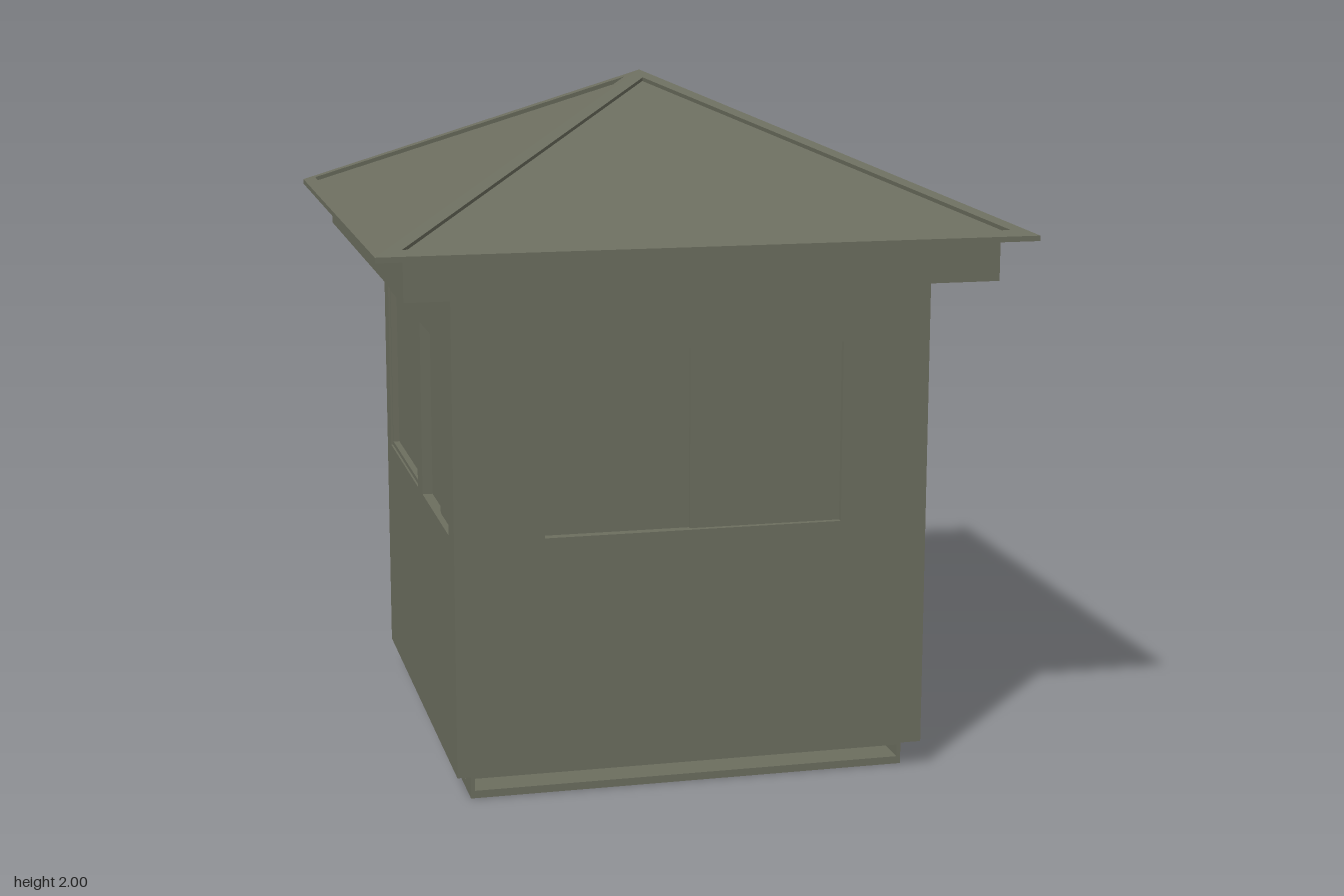
import * as THREE from 'three';

const olive = new THREE.MeshStandardMaterial({ color: 0x6b6d5e });
olive.name = 'olive';
const yellow = new THREE.MeshStandardMaterial({ color: 0xd9aa12 });
yellow.name = 'yellow';

const HALF = 0.685, FLOOR = 0.08, WALL_TOP = 1.47, THICK = 0.07;

function add(parent, name, geometry, x = 0, y = 0, z = 0, material = olive) {
  const mesh = new THREE.Mesh(geometry, material);
  mesh.name = name;
  mesh.position.set(x, y, z);
  parent.add(mesh);
  return mesh;
}

// Box given by its limits along each axis
function box(parent, name, [x0, x1], [y0, y1], [z0, z1], material = olive) {
  return add(parent, name, new THREE.BoxGeometry(x1 - x0, y1 - y0, z1 - z0),
    (x0 + x1) / 2, (y0 + y1) / 2, (z0 + z1) / 2, material);
}

const polygon = (points) => points.map(([x, y]) => new THREE.Vector2(x, y));
const rect = ([x0, x1, y0, y1]) => polygon([[x0, y0], [x1, y0], [x1, y1], [x0, y1]]);

// Flat plate with holes whose outer face lies at z = front
function plate(parent, name, outline, holes, front, depth) {
  const shape = new THREE.Shape(outline);
  holes.forEach((h) => shape.holes.push(new THREE.Path(h)));
  const geometry = new THREE.ExtrudeGeometry(shape, { depth, bevelEnabled: false });
  return add(parent, name, geometry, 0, 0, front - depth);
}

// Wall facing local +z, with rectangular openings
function wall(parent, name, angle, halfWidth, openings) {
  const group = new THREE.Group();
  group.name = name;
  group.rotation.y = angle;
  parent.add(group);
  plate(group, name + 'Panel', rect([-halfWidth, halfWidth, FLOOR, WALL_TOP]),
    openings.map(rect), HALF, THICK);
  return group;
}

const inset = ([a, b, c, d], t) => [a + t, b - t, c + t, d - t];

// Sliding window: two panes on staggered tracks
function slidingWindow(group, [x0, x1, y0, y1]) {
  const mid = (x0 + x1) / 2;
  box(group, 'rearPane', [x0, mid], [y0, y1], [HALF - 0.045, HALF - 0.03]);
  box(group, 'frontPane', [mid - 0.01, x1], [y0, y1], [HALF - 0.03, HALF - 0.018]);
}

// Fixed window: slim frame around one recessed pane
function fixedWindow(group, opening) {
  plate(group, 'windowFrame', rect(opening), [rect(inset(opening, 0.013))], HALF - 0.006, 0.04);
  const [x0, x1, y0, y1] = opening;
  box(group, 'windowPane', [x0, x1], [y0, y1], [HALF - 0.04, HALF - 0.025]);
}

function door(group, opening) {
  const jamb = [-0.615, -0.04, 0.13, 1.355];
  const leaf = [-0.575, -0.08, 0.14, 1.32];
  const light = [-0.48, -0.22, 0.89, 1.2];
  plate(group, 'doorFrame', rect(opening), [rect(jamb)], HALF - 0.008, 0.05);
  plate(group, 'doorJamb', rect(jamb), [rect(leaf)], HALF - 0.02, 0.04);
  plate(group, 'doorLeaf', rect(leaf), [rect(light)], HALF - 0.038, 0.02);
  const [x0, x1, y0, y1] = light;
  box(group, 'doorPane', [x0, x1], [y0, y1], [HALF - 0.056, HALF - 0.046]);

  // Lever handle
  const rose = add(group, 'handleRose', new THREE.CylinderGeometry(0.024, 0.024, 0.012, 24),
    -0.125, 0.745, HALF - 0.032);
  rose.rotation.x = Math.PI / 2;
  const path = new THREE.CatmullRomCurve3([
    new THREE.Vector3(-0.125, 0.745, HALF - 0.035), new THREE.Vector3(-0.126, 0.745, HALF - 0.008),
    new THREE.Vector3(-0.145, 0.745, HALF - 0.002), new THREE.Vector3(-0.205, 0.743, HALF - 0.002)]);
  add(group, 'handleLever', new THREE.TubeGeometry(path, 20, 0.008, 10));
  add(group, 'handleTip', new THREE.SphereGeometry(0.008, 10, 8), -0.205, 0.743, HALF - 0.002);
}

function buildBase(model) {
  const b = 0.64;
  box(model, 'skidPlate', [-b, b], [0, 0.022], [-b, b]);
  box(model, 'floorPlate', [-b, b], [0.058, 0.081], [-b, b]);
  box(model, 'floor', [-0.62, 0.62], [0.078, 0.1], [-0.62, 0.62]);
  const gap = [0.02, 0.06];
  for (const s of [-1, 1]) {
    const x = s > 0 ? [b - 0.012, b] : [-b, -b + 0.012];
    box(model, 'cornerPost', x, gap, [0.54, b]);
    box(model, 'middlePost', x, gap, [0, 0.08]);
    box(model, 'rearPost', x, gap, [-b, -b + 0.012]);
  }
}

function buildRoof(model) {
  const e = 0.915, eaveY = 1.595, rise = 0.405, slope = Math.hypot(e, rise), lip = 0.012;
  box(model, 'fascia', [-0.832, 0.832], [1.46, 1.585], [-0.832, 0.832]);
  box(model, 'eave', [-e, e], [1.58, eaveY], [-e, e]);

  // Recessed roof panels
  const pyramid = new THREE.CylinderGeometry(0, e * Math.SQRT2, rise, 4, 1, true).toNonIndexed();
  pyramid.rotateY(Math.PI / 4);
  pyramid.computeVertexNormals();
  add(model, 'roofPanels', pyramid, 0, eaveY - lip * 1.1 + rise / 2, 0);

  // Raised hip and eave trim on each slope
  for (let i = 0; i < 4; i++) {
    const side = new THREE.Group();
    side.name = 'roofTrim';
    side.rotation.y = i * Math.PI / 2;
    const tilt = new THREE.Group();
    tilt.name = 'roofSlope';
    tilt.position.set(0, eaveY, e);
    tilt.rotation.x = -Math.atan2(e, rise);
    plate(tilt, 'hipTrim', polygon([[-e, 0], [e, 0], [0, slope]]),
      [polygon([[-0.84, 0.034], [0.84, 0.034], [0, slope - 0.05]])], 0, lip);
    side.add(tilt);
    model.add(side);
  }
}

export function createModel() {
  const model = new THREE.Group();
  model.name = 'guardBooth';
  buildBase(model);

  // Front and back walls with wide sliding windows
  const wide = [-0.43, 0.43, 0.76, 1.28];
  for (const [name, angle] of [['frontWall', 0], ['backWall', Math.PI]]) {
    slidingWindow(wall(model, name, angle, HALF - THICK, [wide]), wide);
  }

  // Door wall
  const doorway = [-0.635, -0.015, 0.11, 1.38], sideWindow = [0.06, 0.6, 0.75, 1.29];
  const doorWall = wall(model, 'doorWall', Math.PI / 2, HALF, [doorway, sideWindow]);
  door(doorWall, doorway);
  fixedWindow(doorWall, sideWindow);
  box(doorWall, 'doorLamp', [-0.59, -0.08], [1.393, 1.436], [HALF - 0.005, HALF + 0.022], yellow);

  // Opposite wall with a fixed and a sliding window
  const fixed = [-0.6, 0, 0.76, 1.28], small = [0.095, 0.59, 0.76, 1.28];
  const plainWall = wall(model, 'plainWall', -Math.PI / 2, HALF, [fixed, small]);
  fixedWindow(plainWall, fixed);
  slidingWindow(plainWall, small);

  buildRoof(model);
  return model;
}
